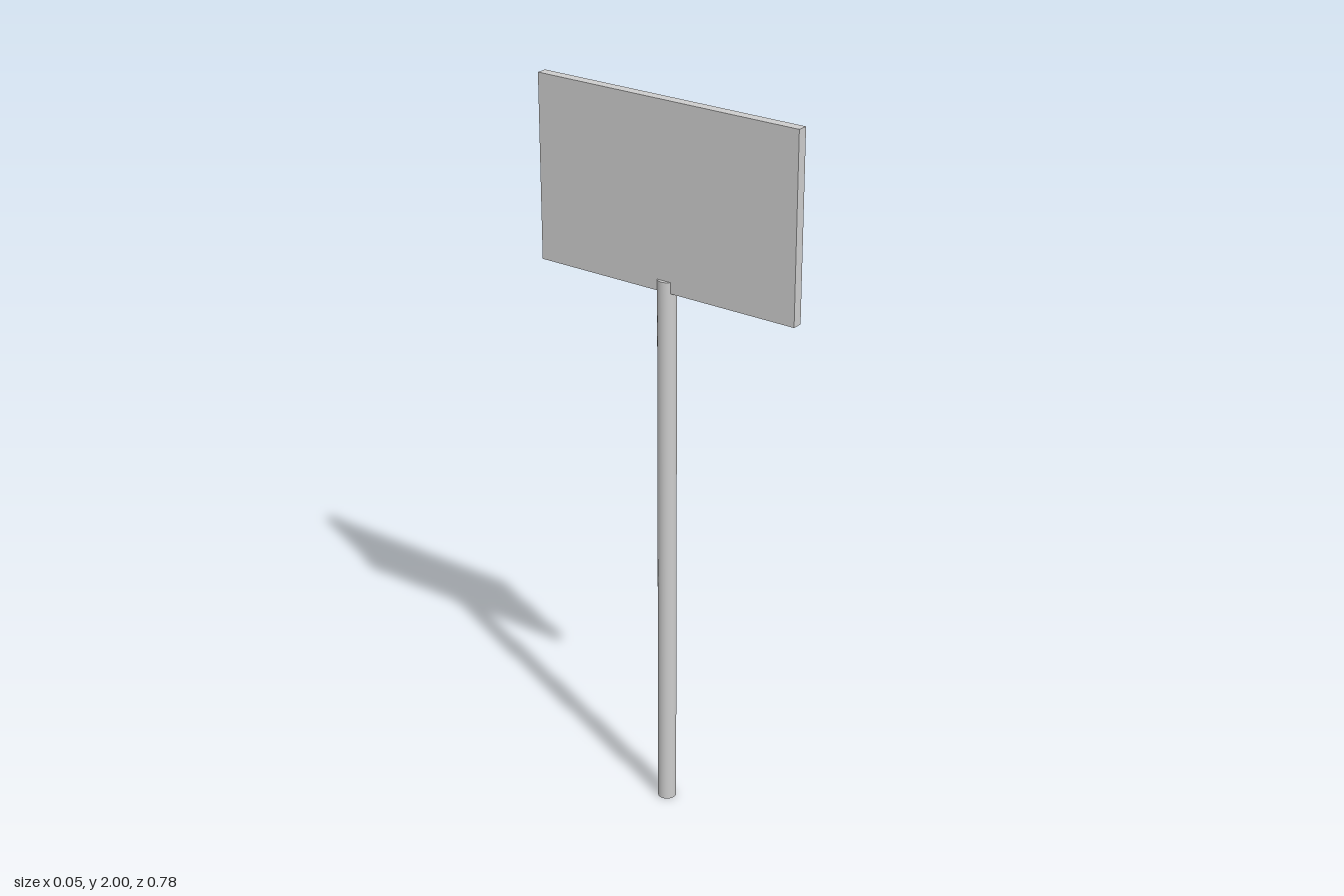
import * as THREE from 'three';

export function createModel() {
  const group = new THREE.Group();
  const material = new THREE.MeshStandardMaterial({ color: 0xcccccc });

  const add = (name, geometry, bottom, top) => {
    const mesh = new THREE.Mesh(geometry, material);
    mesh.name = name;
    mesh.position.y = (bottom + top) / 2;
    group.add(mesh);
  };

  // Round post, overlapping the lower edge of the board
  const postTop = 1.535;
  add('post', new THREE.CylinderGeometry(0.025, 0.025, postTop, 32), 0, postTop);

  // Thin sign board, its broad faces towards +x and -x
  const boardBottom = 1.505, boardTop = 2;
  add('signBoard', new THREE.BoxGeometry(0.028, boardTop - boardBottom, 0.78), boardBottom, boardTop);

  return group;
}
